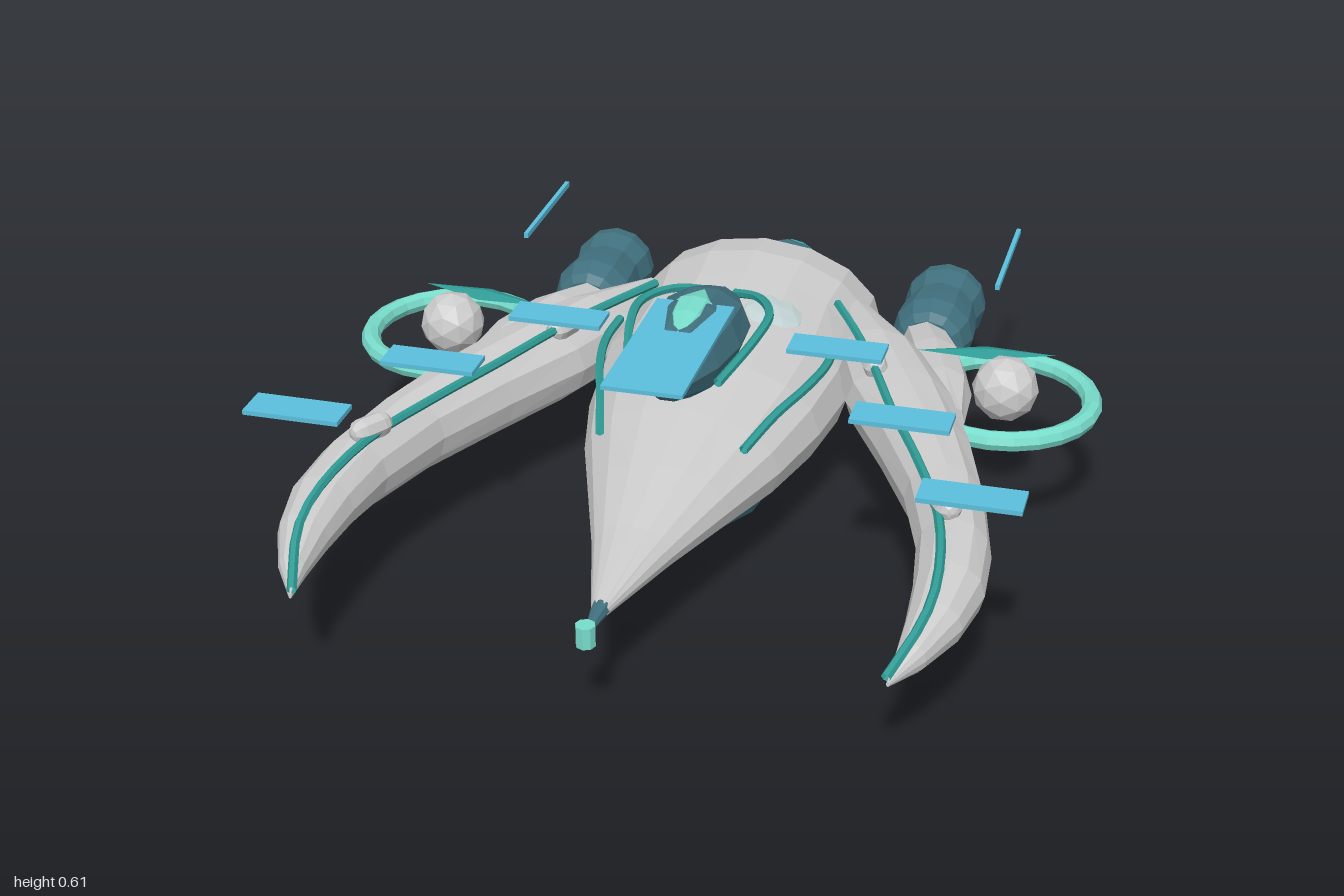
import * as THREE from 'three';

const mat = (color) => new THREE.MeshStandardMaterial({ color, flatShading: true, side: THREE.DoubleSide });
const grey = mat(0xcccccc), dark = mat(0x41717f), teal = mat(0x2f9a94), mint = mat(0x78dccb), blue = mat(0x5bbfdd), glass = mat(0xc2d2d2);

// Skin over elliptical rings [x, y, z, rx, ry], listed front to back
function loft(rings, sides) {
  const pos = [], idx = [];
  const first = rings[0], last = rings[rings.length - 1];
  const all = [[...first.slice(0, 3), 0, 0], ...rings, [...last.slice(0, 3), 0, 0]];
  all.forEach(([x, y, z, rx, ry], r) => {
    for (let i = 0; i < sides; i++) {
      const a = (i / sides) * Math.PI * 2;
      pos.push(x + rx * Math.cos(a), y + ry * Math.sin(a), z);
      if (r === all.length - 1) continue;
      const p = r * sides + i, q = r * sides + (i + 1) % sides;
      idx.push(p, p + sides, q + sides, p, q + sides, q);
    }
  });
  const g = new THREE.BufferGeometry();
  g.setAttribute('position', new THREE.Float32BufferAttribute(pos, 3));
  g.setIndex(idx);
  g.computeVertexNormals();
  return g;
}

function tube(points, radius) {
  const curve = new THREE.CatmullRomCurve3(points.map((p) => new THREE.Vector3(...p)));
  return new THREE.TubeGeometry(curve, 24, radius, 6);
}

export function createModel() {
  const model = new THREE.Group();
  const add = (name, geo, material, x = 0, y = 0, z = 0, parent = model) => {
    const m = new THREE.Mesh(geo, material);
    m.name = name;
    m.position.set(x, y, z);
    parent.add(m);
    return m;
  };

  // Hull: [z, half-width, top, bottom]
  const hull = [
    [0.85, 0.02, 0.255, 0.22], [0.6, 0.095, 0.3, 0.18], [0.4, 0.165, 0.345, 0.145],
    [0.2, 0.235, 0.385, 0.11], [0, 0.285, 0.42, 0.085], [-0.2, 0.31, 0.44, 0.07],
    [-0.4, 0.3, 0.46, 0.05], [-0.52, 0.315, 0.47, 0.035], [-0.63, 0.31, 0.455, 0.03],
    [-0.74, 0.215, 0.39, 0.085], [-0.79, 0.12, 0.34, 0.14],
  ].map(([z, w, t, b]) => [0, (t + b) / 2, z, w, (t - b) / 2]);
  add('hull', loft(hull, 16), grey);
  add('noseSpike', loft([[0, 0.238, 0.94, 0.006, 0.006], [0, 0.238, 0.84, 0.022, 0.02]], 8), dark);
  add('noseTip', new THREE.CylinderGeometry(0.022, 0.022, 0.05, 8), mint, 0, 0.24, 0.952);

  // Belly pod under the hull
  add('bellyPod', loft([
    [0, 0.135, 0.38, 0.01, 0.005], [0, 0.125, 0.25, 0.1, 0.06], [0, 0.11, 0.08, 0.165, 0.09],
    [0, 0.1, -0.14, 0.19, 0.096], [0, 0.1, -0.33, 0.165, 0.085], [0, 0.09, -0.5, 0.04, 0.03],
  ], 12), dark);

  // Cockpit pod and its crest
  add('cockpitPod', loft([
    [0, 0.52, 0.375, 0.004, 0.004], [0, 0.515, 0.32, 0.055, 0.05], [0, 0.513, 0.22, 0.095, 0.088],
    [0, 0.512, 0.1, 0.115, 0.102], [0, 0.507, -0.02, 0.11, 0.09], [0, 0.495, -0.13, 0.065, 0.055],
    [0, 0.48, -0.215, 0.004, 0.004],
  ], 10), dark);
  add('cockpitCrest', loft([
    [0, 0.59, 0.23, 0.012, 0.004], [0, 0.595, 0.15, 0.04, 0.02], [0, 0.6, 0.08, 0.045, 0.018], [0, 0.59, -0.01, 0.004, 0.004],
  ], 8), mint);
  add('canopyPanel', new THREE.BoxGeometry(0.185, 0.01, 0.455), blue, 0, 0.59, 0.295);

  // Engine with nozzle ring and flat exhaust disc; z is the front end
  function engine(name, x, y, z, profile, end) {
    const g = new THREE.Group();
    g.name = name;
    g.position.set(x, y, z);
    model.add(g);
    add('engineBody', loft(profile.map(([d, r]) => [0, 0, -d, r, r]), 12), dark, 0, 0, 0, g);
    add('nozzleRing', new THREE.TorusGeometry(0.068, 0.011, 6, 16), teal, 0, 0, -end, g);
    add('exhaustDisc', new THREE.CylinderGeometry(0.05, 0.05, 0.016, 14), mint, 0, 0, -end - 0.012, g);
  }
  engine('mainEngine', 0, 0.24, -0.77,
    [[0, 0.1], [0.05, 0.108], [0.1, 0.108], [0.14, 0.09], [0.155, 0.07]], 0.167);

  for (const s of [1, -1]) {
    const side = s > 0 ? 'left' : 'right';
    const mirror = (rings) => rings.map(([x, ...rest]) => [s * x, ...rest]);

    engine(side + 'Engine', s * 0.45, 0.26, -0.51, [
      [0, 0.07], [0.02, 0.088], [0.07, 0.104], [0.13, 0.1], [0.19, 0.092],
      [0.25, 0.105], [0.29, 0.1], [0.31, 0.07],
    ], 0.322);

    // Curved horn-like arm
    add(side + 'Arm', loft(mirror([
      [0.645, 0.25, 0.985, 0.004, 0.006], [0.675, 0.262, 0.9, 0.033, 0.035], [0.7, 0.27, 0.78, 0.06, 0.058],
      [0.708, 0.276, 0.65, 0.077, 0.075], [0.692, 0.28, 0.5, 0.083, 0.09], [0.637, 0.285, 0.3, 0.093, 0.1],
      [0.555, 0.29, 0.1, 0.115, 0.107], [0.46, 0.295, -0.1, 0.135, 0.108], [0.37, 0.295, -0.3, 0.115, 0.105],
      [0.27, 0.29, -0.5, 0.06, 0.08],
    ]), 12), grey);
    add(side + 'ArmPiping', tube(mirror([
      [0.64, 0.265, 0.985], [0.688, 0.32, 0.83], [0.692, 0.347, 0.7], [0.655, 0.37, 0.5], [0.565, 0.382, 0.28],
      [0.475, 0.394, 0.1], [0.39, 0.4, -0.1], [0.31, 0.395, -0.28], [0.235, 0.395, -0.42],
    ]), 0.011), teal);

    // Strut linking the arm to the engine
    add(side + 'Strut', loft(mirror([
      [0.59, 0.3, -0.06, 0.03, 0.04], [0.54, 0.29, -0.22, 0.07, 0.07],
      [0.49, 0.28, -0.38, 0.075, 0.075], [0.44, 0.26, -0.53, 0.065, 0.065],
    ]), 8), grey);

    // Studs on top of the arm
    for (const [x, y, z, turn] of [[0.66, 0.38, 0.46, 0.55], [0.385, 0.395, -0.13, 0.35]]) {
      const stud = add(side + 'ArmStud', new THREE.CapsuleGeometry(0.03, 0.05, 3, 8).rotateX(Math.PI / 2), grey, s * x, y, z);
      stud.rotation.y = s * turn;
    }

    // Ring, orb and tapered blade beside the arm
    add(side + 'Ring', new THREE.TorusGeometry(0.212, 0.024, 8, 24).rotateX(Math.PI / 2), mint, s * 0.69, 0.308, -0.185);
    add(side + 'Orb', new THREE.IcosahedronGeometry(0.08, 1), grey, s * 0.695, 0.34, -0.18);
    const blade = add(side + 'Blade', new THREE.OctahedronGeometry(1), teal, s * 0.635, 0.39, -0.255);
    blade.scale.set(0.165, 0.012, 0.035);
    blade.rotation.y = s * 0.16;

    // Piping around the cockpit and along the hull
    add(side + 'CockpitRail', tube(mirror([
      [0.03, 0.505, -0.19], [0.1, 0.53, -0.13], [0.155, 0.543, -0.02], [0.15, 0.535, 0.1], [0.105, 0.5, 0.27],
    ]), 0.011), teal);
    add(side + 'HullPiping', tube(mirror([
      [0.17, 0.345, 0.285], [0.21, 0.37, 0.15], [0.255, 0.378, 0], [0.275, 0.38, -0.12], [0.27, 0.385, -0.22],
    ]), 0.011), teal);

    // Pale windows set in the hull top
    const pane = add(side + 'HullWindow', new THREE.IcosahedronGeometry(1, 1), glass, s * 0.105, 0.412, -0.28);
    pane.scale.set(0.085, 0.03, 0.1);
    pane.rotation.z = -s * 0.25;

    // Floating panels and rear bar
    for (const [x, z] of [[0.335, 0.06], [0.543, 0.355], [0.747, 0.655]])
      add(side + 'FloatingPanel', new THREE.BoxGeometry(0.222, 0.011, 0.087), blue, s * x, 0.515, z);
    add(side + 'RearBar', new THREE.BoxGeometry(0.011, 0.014, 0.355), blue, s * 0.615, 0.436, -0.705);
  }
  return model;
}
